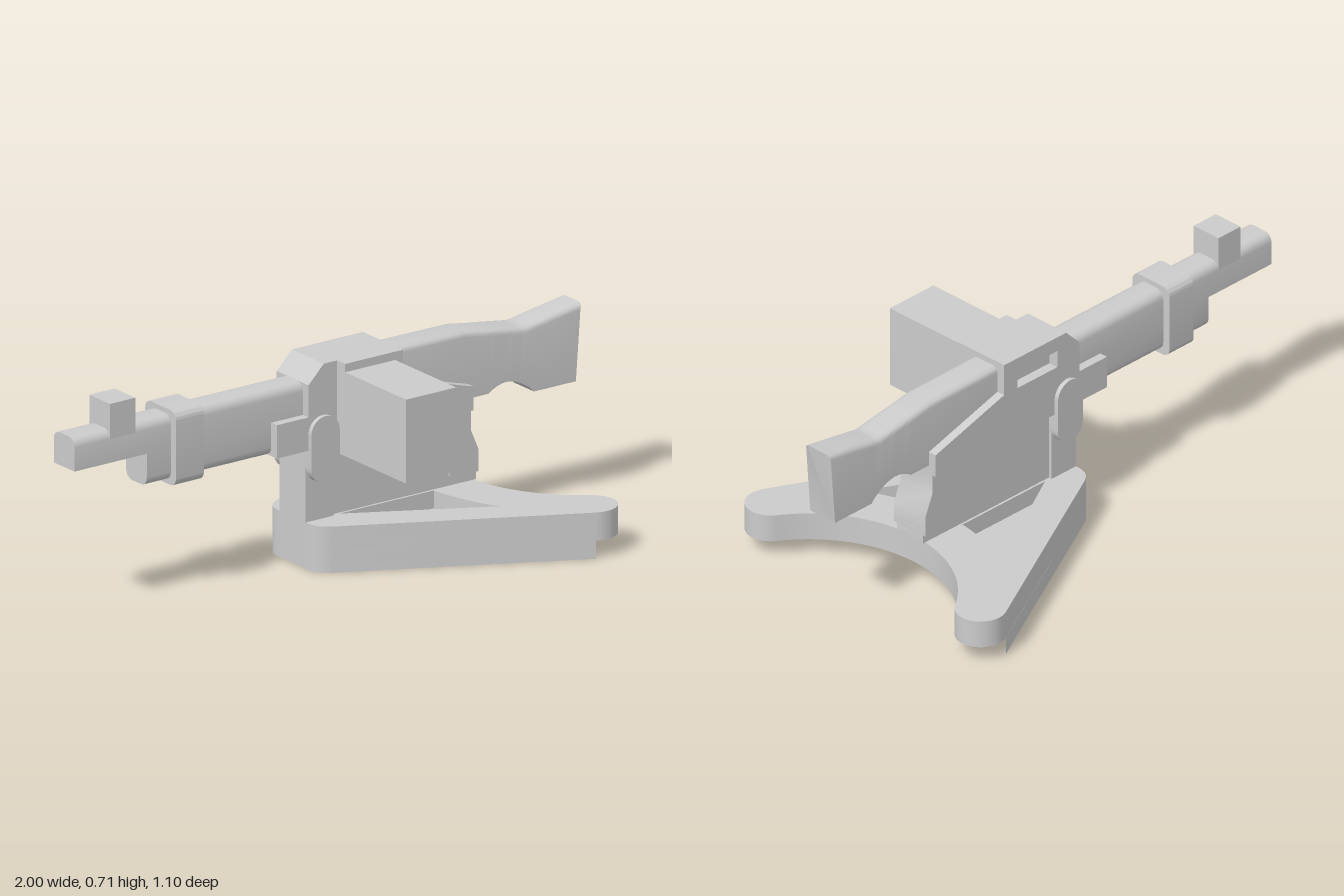
import * as THREE from 'three';
import { toCreasedNormals } from 'three/addons/utils/BufferGeometryUtils.js';

export function createModel() {
  const model = new THREE.Group();
  const material = new THREE.MeshStandardMaterial({ color: 0xcccccc });

  const add = (name, geometry) => {
    const mesh = new THREE.Mesh(geometry, material);
    mesh.name = name;
    model.add(mesh);
  };
  const extrude = (shape, depth) => toCreasedNormals(
    new THREE.ExtrudeGeometry(shape, { depth, bevelEnabled: false, curveSegments: 20 }), 0.5);
  const points = (pts) => pts.map(([x, y]) => new THREE.Vector2(x, y));
  const outline = (pts) => new THREE.Shape(points(pts));

  // Side profile given thickness from z0 to z1
  const plate = (name, shape, z0, z1) => add(name, extrude(shape, z1 - z0).translate(0, 0, z0));
  // Plan shape given height from y0 to y1
  const slab = (name, shape, y0, y1) =>
    add(name, extrude(shape, y1 - y0).rotateX(-Math.PI / 2).translate(0, y0, 0));
  const box = (name, x0, x1, y0, y1, z0, z1) => add(name,
    new THREE.BoxGeometry(x1 - x0, y1 - y0, z1 - z0)
      .translate((x0 + x1) / 2, (y0 + y1) / 2, (z0 + z1) / 2));

  // Bar along x with softly rounded top edges; stations are [x, bottom, top, xAtTop?]
  function loft(stations, w, r) {
    const rings = stations.map(([x, b, t, xt = x]) => {
      const ring = [[x, b, -w], [x, b, w]];
      for (const side of [1, -1]) {
        for (let i = 0; i <= 4; i++) {
          const a = (side > 0 ? i : 4 - i) / 4 * Math.PI / 2;
          const y = t - r + r * Math.sin(a);
          const k = Math.max(0, (y - (t - 0.07)) / 0.07);
          ring.push([x + (xt - x) * k, y, side * (w - r + r * Math.cos(a))]);
        }
      }
      return ring;
    });
    const n = rings[0].length, pos = [];
    const tri = (...p) => p.forEach((v) => pos.push(...v));
    for (let s = 0; s < rings.length - 1; s++) {
      const A = rings[s], B = rings[s + 1];
      for (let i = 0; i < n; i++) {
        const j = (i + 1) % n;
        tri(A[i], B[i], B[j]);
        tri(A[i], B[j], A[j]);
      }
    }
    const first = rings[0], last = rings[rings.length - 1];
    for (let i = 1; i < n - 1; i++) {
      tri(first[0], first[i], first[i + 1]);
      tri(last[0], last[i + 1], last[i]);
    }
    const g = new THREE.BufferGeometry();
    g.setAttribute('position', new THREE.Float32BufferAttribute(pos, 3));
    return toCreasedNormals(g, 0.5);
  }

  // Swept V base: two arms around a concave rear edge
  const cx = 1.04, tipX = 0.735, tipZ = 0.466, tipR = 0.083;
  function baseShape(withTips) {
    const s = new THREE.Shape();
    s.moveTo(-0.1, -0.08);
    s.quadraticCurveTo(-0.1, -0.13, -0.05, -0.155);
    s.lineTo(0.695, -0.54);
    if (withTips) {
      s.absarc(tipX, -tipZ, tipR, -2.05, 0.991, false);
      s.absarc(cx, 0, 0.474, -2.15, 2.15, true);
      s.absarc(tipX, tipZ, tipR, -0.991, 2.05, false);
    } else {
      s.absarc(cx, 0, 0.64, -2.139, 2.139, true);
    }
    s.lineTo(-0.05, 0.155);
    s.quadraticCurveTo(-0.1, 0.13, -0.1, 0.08);
    return s;
  }
  slab('baseFoot', baseShape(false), 0, 0.06);
  slab('baseFloor', baseShape(true), 0.06, 0.095);
  // Top layer with a pocket either side of the pedestal
  const deck = baseShape(true);
  for (const m of [1, -1]) {
    const hole = new THREE.Path();
    hole.moveTo(0.035, m * 0.065);
    hole.lineTo(0.485, m * 0.31);
    hole.absarc(cx, 0, 0.635, m * 2.632, m * 3.039, m < 0);
    deck.holes.push(hole);
  }
  slab('baseDeck', deck, 0.095, 0.155);

  // Pedestal and rear grip
  box('pedestalFront', -0.1, 0.01, 0.15, 0.41, -0.07, 0.07);
  plate('pedestalCore', outline([[0, 0.09], [0.55, 0.09], [0.55, 0.155], [0.58, 0.155],
    [0.58, 0.2], [0.5, 0.41], [0, 0.41]]), -0.057, 0.057);
  plate('rearGrip', outline([[0.27, 0.41], [0.3, 0.31], [0.45, 0.31], [0.47, 0.19], [0.58, 0.185],
    [0.58, 0.26], [0.55, 0.33], [0.55, 0.41]]), -0.07, 0.07);

  // Receiver, with an ejection slot in its right skin
  const receiver = () => outline([[-0.1, 0.4], [0.55, 0.4], [0.55, 0.48], [0.24, 0.57],
    [0.24, 0.68], [-0.04, 0.68], [-0.1, 0.62]]);
  plate('receiver', receiver(), -0.05, 0.085);
  const skin = receiver();
  skin.holes.push(new THREE.Path(points([[0, 0.57], [0.18, 0.57], [0.18, 0.63], [0, 0.63]])));
  plate('receiverSlottedSide', skin, -0.085, -0.05);
  box('magazineBracket', 0.013, 0.24, 0.595, 0.68, 0.08, 0.127);
  box('magazine', 0.013, 0.21, 0.37, 0.652, 0.06, 0.452);

  // Oval pivot caps
  const oval = new THREE.Shape();
  oval.absarc(-0.044, 0.453, 0.056, 0, Math.PI, false);
  oval.absarc(-0.044, 0.341, 0.056, Math.PI, Math.PI * 2, false);
  plate('pivotCapLeft', oval, 0.06, 0.1);
  plate('pivotCapRight', oval, -0.1, -0.06);

  // Barrel, and a lower tube turned so its rounded edges face down
  add('barrel', loft([[-1, 0.51, 0.62], [-0.08, 0.51, 0.62]], 0.055, 0.03));
  add('lowerTube', loft([[0.08, -0.51, -0.4], [0.715, -0.51, -0.4]], 0.055, 0.03)
    .rotateZ(Math.PI));
  box('tubeCollar', -0.225, -0.09, 0.4, 0.512, -0.085, 0.085);
  box('frontSight', -0.86, -0.76, 0.59, 0.708, -0.055, 0.055);

  // Clamp band with rounded corners, wrapped around barrel and tube
  const clamp = new THREE.Shape();
  const w = 0.052, low = 0.415, high = 0.607;
  [[w, high], [-w, high], [-w, low], [w, low]].forEach(([z, y], i) =>
    clamp.absarc(z, y, 0.03, i * Math.PI / 2, (i + 1) * Math.PI / 2, false));
  add('barrelClamp', extrude(clamp, 0.11).rotateY(Math.PI / 2).translate(-0.62, 0, 0));

  // Shoulder stock with a thumb arch underneath
  const stock = [[0.2, 0.43, 0.66], [0.54, 0.43, 0.658], [0.63, 0.43, 0.643]];
  for (let i = 1; i < 10; i++) {
    const x = 0.63 + i * 0.018;
    stock.push([x, 0.405 + 0.05 * Math.sin(Math.PI * (0.17 + 0.83 * i / 10)),
      x < 0.775 ? 0.658 - (x - 0.54) * 0.155 : 0.622 + (x - 0.775) * 0.16]);
  }
  stock.push([0.81, 0.4, 0.628], [0.9, 0.4, 0.643], [0.975, 0.4, 0.658, 1]);
  add('stock', loft(stock, 0.055, 0.02));

  return model;
}
